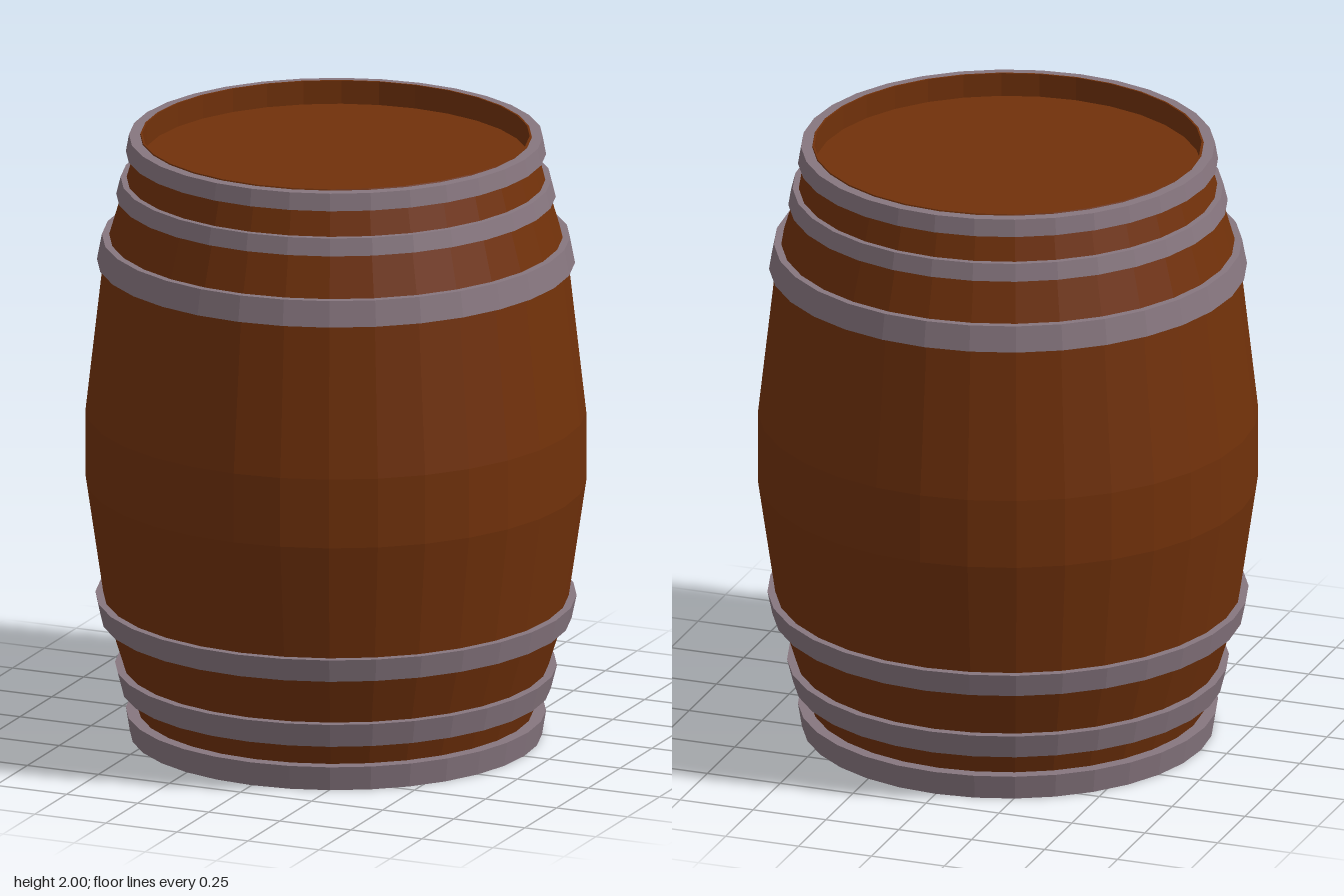
import * as THREE from 'three';

const SIDES = 32;

export function createModel() {
  const wood = new THREE.MeshStandardMaterial({ color: 0x71310a, flatShading: true });
  wood.name = 'brown wood';
  const iron = new THREE.MeshStandardMaterial({ color: 0x87767f, flatShading: true });
  iron.name = 'grey iron';

  const barrel = new THREE.Group();
  barrel.name = 'barrel';

  // Revolves an [r, y] profile, listed from bottom to top along the outside
  const addLathe = (name, profile, material) => {
    const points = profile.map(([r, y]) => new THREE.Vector2(r, y));
    const mesh = new THREE.Mesh(new THREE.LatheGeometry(points, SIDES), material);
    mesh.name = name;
    barrel.add(mesh);
  };

  // Bulging staves with a thin lip, a recessed lid and a recessed base
  addLathe('staves', [
    [0, 0.04], [0.63, 0.04], [0.635, 0.08], [0.66, 0.16], [0.735, 0.4],
    [0.747, 0.46], [0.804, 0.85], [0.804, 1.08], [0.745, 1.6], [0.735, 1.64],
    [0.685, 1.81], [0.645, 1.95], [0.628, 2], [0.622, 2], [0.622, 1.922], [0, 1.922],
  ], wood);

  // Iron hoops: [name, bottom y, top y, bottom radius, top radius, inner radius]
  const hoops = [
    ['bottomHoop', 0, 0.08, 0.662, 0.675, 0.622],
    ['lowerHoop', 0.153, 0.232, 0.69, 0.71, 0.64],
    ['lowerBellyHoop', 0.39, 0.466, 0.757, 0.773, 0.72],
    ['upperBellyHoop', 1.578, 1.662, 0.768, 0.752, 0.71],
    ['upperHoop', 1.798, 1.854, 0.706, 0.692, 0.65],
    ['topHoop', 1.94, 1.996, 0.675, 0.665, 0.626],
  ];
  // Each hoop is a closed ring; the bottom one shows its inner wall below the base
  for (const [name, y0, y1, r0, r1, inner] of hoops) {
    addLathe(name, [[inner, y0], [r0, y0], [r1, y1], [inner, y1], [inner, y0]], iron);
  }

  return barrel;
}
